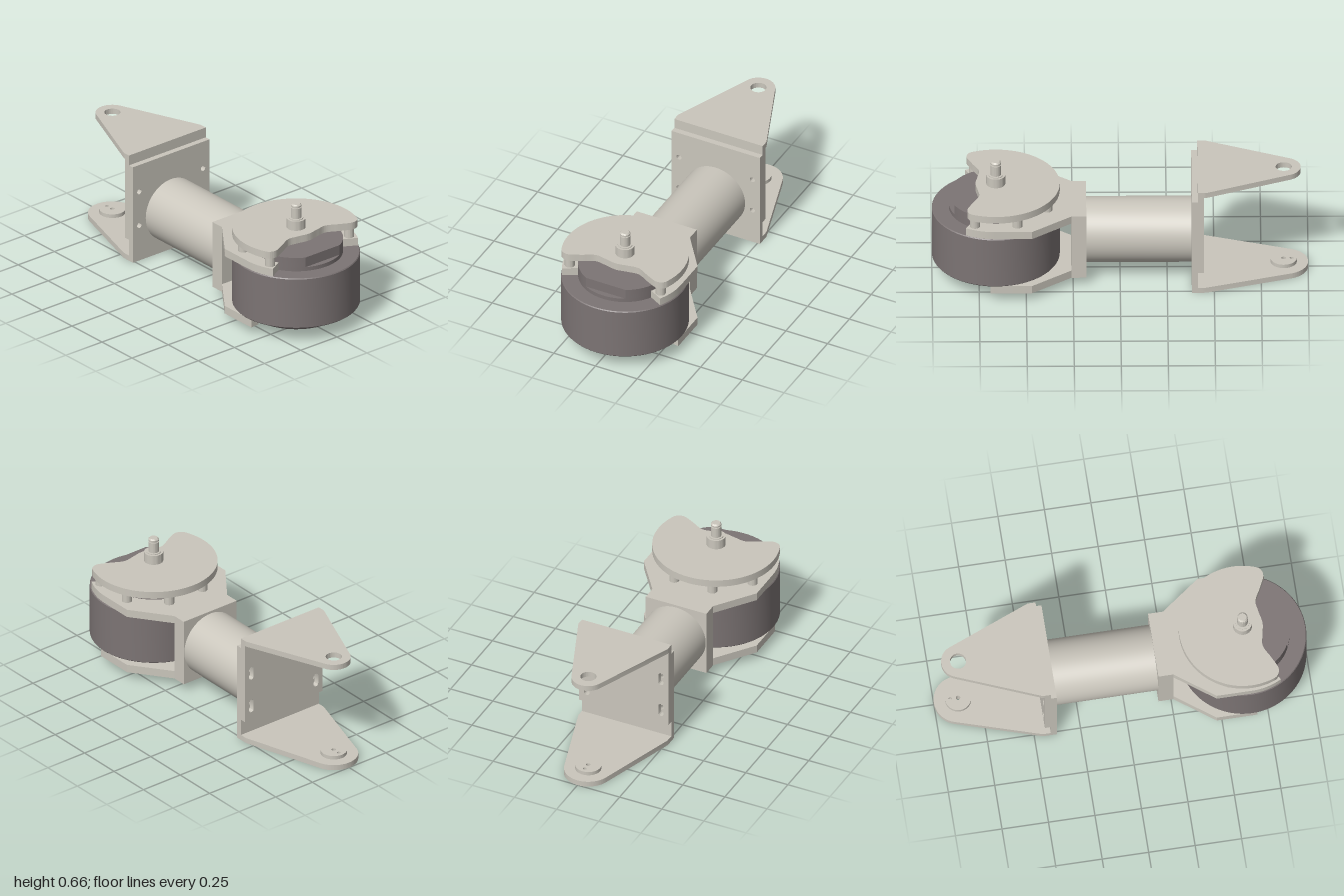
import * as THREE from 'three';
import { toCreasedNormals } from 'three/addons/utils/BufferGeometryUtils.js';

const light = new THREE.MeshStandardMaterial({ color: 0xcac6bc });
const dark = new THREE.MeshStandardMaterial({ color: 0x7c7474 });
const CZ = 0.66; // motor axis
const PZ = -0.87; // pivot axis of the bracket

export function createModel() {
  const model = new THREE.Group();

  const add = (name, geo, mat = light) => {
    const mesh = new THREE.Mesh(toCreasedNormals(geo, 0.45), mat);
    mesh.name = name;
    model.add(mesh);
    return mesh;
  };
  const box = (name, x0, x1, y0, y1, z0, z1) =>
    add(name, new THREE.BoxGeometry(x1 - x0, y1 - y0, z1 - z0)
      .translate((x0 + x1) / 2, (y0 + y1) / 2, (z0 + z1) / 2));
  // horizontal plate from an outline drawn in (x, z)
  const slab = (name, shape, y0, y1, mat) =>
    add(name, new THREE.ExtrudeGeometry(shape, { depth: y1 - y0, bevelEnabled: false, curveSegments: 40 })
      .rotateX(Math.PI / 2).translate(0, y1, 0), mat);
  // turned part about a vertical axis
  const turned = (name, pts, x, z, mat, seg = 72) =>
    add(name, new THREE.LatheGeometry(pts.map(p => new THREE.Vector2(...p)), seg)
      .translate(x, 0, z), mat);
  const circle = (x, y, r) => new THREE.Path().absarc(x, y, r, 0, Math.PI * 2, true);

  // motor body with chamfered rims, bottom boss and recessed centre
  turned('motorBody', [
    [0, 0.06], [0.06, 0.06], [0.06, 0.036], [0.115, 0.036], [0.12, 0.043], [0.25, 0.043],
    [0.278, 0.07], [0.278, 0.091], [0.336, 0.091], [0.34, 0.096],
    [0.34, 0.381], [0.336, 0.386], [0.25, 0.386], [0.25, 0.408], [0, 0.408],
  ], 0, CZ, dark, 96);

  // motor top boss with a flat on its front
  const flat = Math.asin(0.22 / 0.25);
  const boss = new THREE.Shape();
  boss.absarc(0, CZ, 0.25, Math.PI - flat, flat + Math.PI * 2, false);
  boss.closePath();
  slab('motorTopBoss', boss, 0.408, 0.465, dark);

  // fork: two horseshoe plates joined by a back block
  const forkPlate = (inner, a) => {
    const s = new THREE.Shape();
    s.moveTo(-0.18, 0.18);
    s.lineTo(0.18, 0.18);
    s.lineTo(0.18, 0.26);
    s.lineTo(0.335, 0.47);
    s.lineTo(0.335, CZ);
    s.absarc(0, CZ, 0.335, 0, a, false);
    s.absarc(0, CZ, inner, a, Math.PI - a, true);
    s.absarc(0, CZ, 0.335, Math.PI - a, Math.PI, false);
    s.lineTo(-0.335, 0.47);
    s.lineTo(-0.18, 0.26);
    s.closePath();
    return s;
  };
  slab('forkUpperPlate', forkPlate(0.25, 0.5), 0.386, 0.43);
  slab('forkLowerPlate', forkPlate(0.28, 0.09), 0.047, 0.092);
  box('forkBlock', -0.18, 0.18, 0.092, 0.386, 0.18, 0.26);

  // standoff posts
  for (const deg of [22.5, -22.5, -67.5, -112.5, -157.5, 157.5]) {
    const a = THREE.MathUtils.degToRad(deg);
    turned('standoffPost', [[0, 0.43], [0.027, 0.43], [0.027, 0.488], [0, 0.488]],
      0.295 * Math.cos(a), CZ + 0.295 * Math.sin(a), light, 32);
  }

  // cover plate with a wavy front edge
  const cover = new THREE.Shape();
  const e = 0.4;
  cover.absarc(0, CZ, 0.34, Math.PI - e, e + Math.PI * 2, false);
  cover.splineThru([[0.295, 0.808], [0.26, 0.812], [0.2, 0.785], [0.13, 0.75], [0.07, 0.756], [0, 0.768],
    [-0.07, 0.756], [-0.13, 0.75], [-0.2, 0.785], [-0.26, 0.812], [-0.295, 0.808],
    [-0.34 * Math.cos(e), CZ + 0.34 * Math.sin(e)]].map(p => new THREE.Vector2(...p)));
  slab('coverPlate', cover, 0.487, 0.528);

  // shaft with collar, groove and lower peg
  turned('shaft', [
    [0, 0.472], [0.018, 0.472], [0.022, 0.477], [0.022, 0.5], [0.051, 0.5], [0.051, 0.582],
    [0.039, 0.582], [0.039, 0.586], [0.028, 0.586], [0.028, 0.645], [0.021, 0.645], [0.021, 0.651],
    [0.028, 0.651], [0.028, 0.66], [0.021, 0.667], [0, 0.667],
  ], 0, CZ, light, 40);

  // horizontal arm tube
  add('armTube', new THREE.CylinderGeometry(0.176, 0.176, 0.57, 72)
    .rotateX(Math.PI / 2).translate(0, 0.24, -0.1));

  // bracket uprights: front plate with round holes, rear plate with slots
  const upright = (name, y0, y1, z0, z1, r, half) => {
    const s = new THREE.Shape();
    s.moveTo(-0.265, y0);
    s.lineTo(0.265, y0);
    s.lineTo(0.265, y1);
    s.lineTo(-0.265, y1);
    s.closePath();
    for (const x of [-0.22, 0.22]) for (const y of [0.21, 0.41]) {
      const h = new THREE.Path();
      h.absarc(x, y + half, r, 0, Math.PI, false);
      h.absarc(x, y - half, r, Math.PI, Math.PI * 2, false);
      h.closePath();
      s.holes.push(h);
    }
    add(name, new THREE.ExtrudeGeometry(s, { depth: z1 - z0, bevelEnabled: false, curveSegments: 16 })
      .translate(0, 0, z0));
  };
  upright('bracketFrontPlate', 0.003, 0.568, -0.412, -0.38, 0.015, 0);
  upright('bracketRearPlate', 0.127, 0.626, -0.444, -0.412, 0.016, 0.022);

  // bracket flanges: tapered plates ending in a round nose tangent to the sides
  const flange = (zFront, nose, hole) => {
    const zc = -0.455, dx = 0.265, dz = zc - PZ;
    const a = Math.atan2(dz, dx) - Math.acos(nose / Math.hypot(dx, dz));
    const s = new THREE.Shape();
    s.moveTo(-0.265, zFront);
    s.lineTo(-0.265, zc);
    s.absarc(0, PZ, nose, Math.PI - a, Math.PI * 2 + a, false);
    s.lineTo(0.265, zc);
    s.lineTo(0.265, zFront);
    s.closePath();
    s.holes.push(circle(0, PZ, hole));
    return s;
  };
  slab('bracketUpperFlange', flange(-0.444, 0.09, 0.043), 0.595, 0.626);
  slab('bracketLowerFlange', flange(-0.412, 0.13, 0.012), 0.003, 0.034);

  // pivot pad with a centre hole and an offset pin hole
  const pad = new THREE.Shape();
  pad.absarc(0, PZ, 0.07, 0, Math.PI * 2, false);
  pad.holes.push(circle(0, PZ, 0.012), circle(0, PZ - 0.042, 0.01));
  slab('pivotPad', pad, 0.034, 0.055);

  return model;
}
